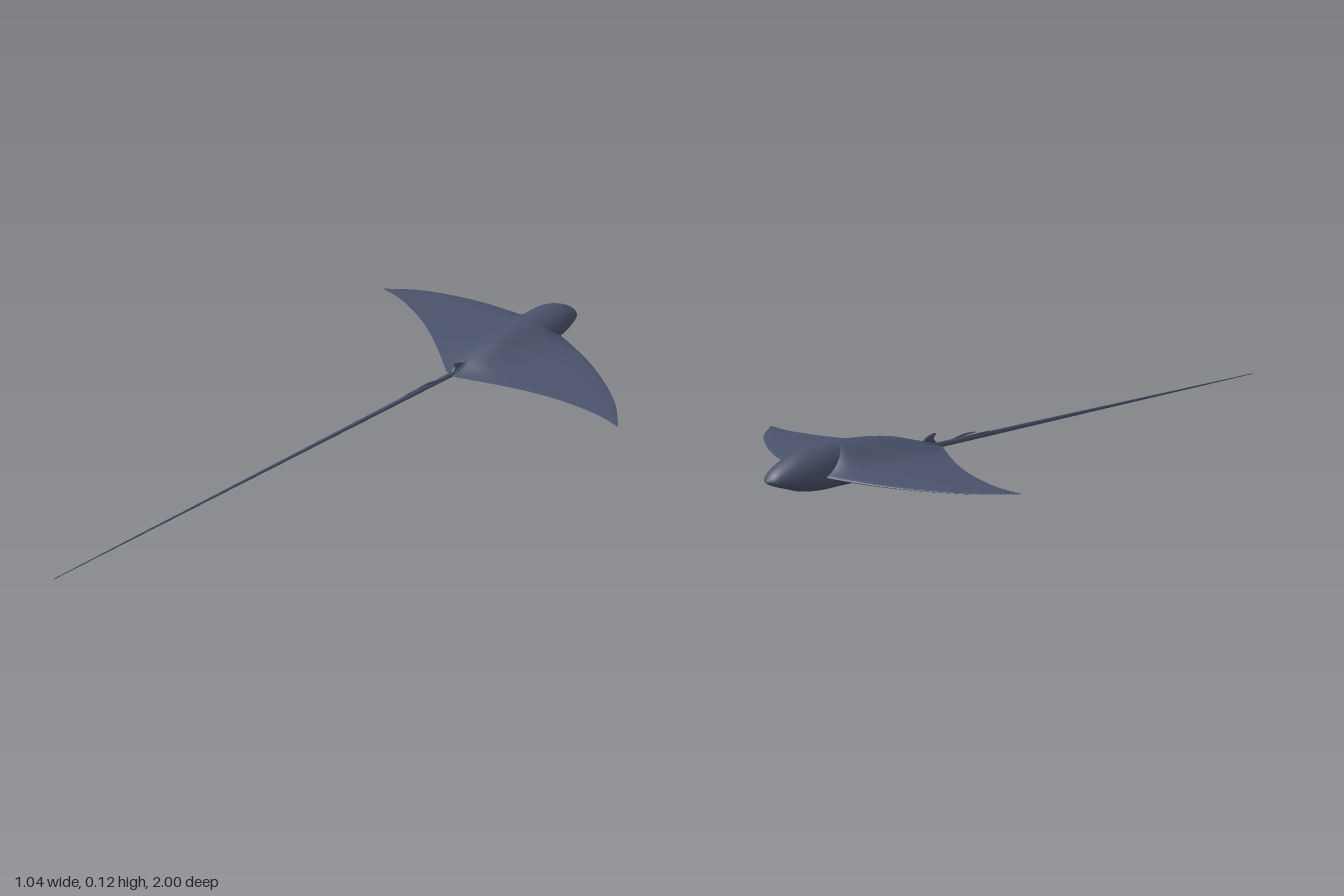
import * as THREE from 'three';

const MID = 0.046;
const SPAN = 0.518;
const slate = new THREE.MeshStandardMaterial({ color: 0x4a526b });
slate.name = 'slate skin';

// smooth lookup through [position, value] pairs
function curve(pairs) {
  return (p) => {
    let i = 0;
    while (i < pairs.length - 2 && p > pairs[i + 1][0]) i++;
    const slope = (k) => {
      const a = pairs[Math.max(k - 1, 0)], b = pairs[Math.min(k + 1, pairs.length - 1)];
      return (b[1] - a[1]) / (b[0] - a[0]);
    };
    const [x0, y0] = pairs[i], [x1, y1] = pairs[i + 1], d = x1 - x0;
    const t = Math.min(Math.max((p - x0) / d, 0), 1), s = 1 - t;
    return y0 * (1 + 2 * t) * s * s + slope(i) * d * t * s * s
      + y1 * t * t * (3 - 2 * t) - slope(i + 1) * d * t * t * s;
  };
}

// grid of points point(i, j), i in 0..n, j in 0..m
function gridGeometry(n, m, point, flip = false) {
  const pos = [], idx = [];
  for (let i = 0; i <= n; i++) for (let j = 0; j <= m; j++) pos.push(...point(i, j));
  for (let i = 0; i < n; i++) for (let j = 0; j < m; j++) {
    const a = i * (m + 1) + j, b = a + 1, c = a + m + 1, d = c + 1;
    idx.push(...(flip ? [a, c, b, b, c, d] : [a, b, c, b, d, c]));
  }
  const g = new THREE.BufferGeometry();
  g.setAttribute('position', new THREE.Float32BufferAttribute(pos, 3));
  g.setIndex(idx);
  g.computeVertexNormals();
  return g;
}

// body outline along z: upper edge, lower edge, half width
const bodyTop = curve([[-1, 0.05], [-0.985, 0.07], [-0.95, 0.092], [-0.9, 0.112], [-0.82, 0.12],
  [-0.7, 0.115], [-0.6, 0.1], [-0.5, 0.07], [-0.43, 0.05]]);
const bodyLow = curve([[-1, 0.05], [-0.985, 0.039], [-0.95, 0.025], [-0.9, 0.008], [-0.82, 0.001],
  [-0.7, 0.005], [-0.6, 0.016], [-0.5, 0.031], [-0.43, 0.042]]);
const bodyWidth = curve([[-1, 0], [-0.99, 0.022], [-0.97, 0.036], [-0.93, 0.05], [-0.86, 0.063],
  [-0.78, 0.055], [-0.65, 0.034], [-0.5, 0.016], [-0.43, 0.006]]);

// wing outline along x
const leading = curve([[0, -0.87], [0.06, -0.86], [0.15, -0.838], [0.25, -0.806], [0.35, -0.758],
  [0.44, -0.7], [SPAN, -0.622]]);
const trailing = curve([[0, -0.432], [0.02, -0.436], [0.1, -0.484], [0.2, -0.54], [0.3, -0.584],
  [0.4, -0.612], [0.46, -0.62], [SPAN, -0.618]]);
const wingHeight = curve([[0, 0.022], [0.1, 0.018], [0.2, 0.013], [0.35, 0.007], [SPAN, 0.0005]]);

function wingSurface(side, up) {
  const n = 44, m = 32;
  return gridGeometry(n, m, (i, j) => {
    const x = SPAN * Math.pow(i / n, 1.3);
    const u = (1 - Math.cos(Math.PI * j / m)) / 2;
    const z = THREE.MathUtils.lerp(leading(x), trailing(x), u);
    const foil = Math.min(1, 2.3 * Math.sqrt(u) * (1 - u));
    // fairing that swells toward the trunk and closes at both edges
    const bell = Math.exp(-Math.pow(x / 0.075, 2))
      * THREE.MathUtils.smoothstep(u, 0, 0.2) * Math.min(1, (1 - u) * 6);
    const full = up > 0 ? bodyTop(z) - MID : MID - bodyLow(z);
    const thin = wingHeight(x) * foil * (up > 0 ? 1 : 0.65);
    return [side * x, MID + up * (thin + Math.max(0, full - thin) * bell * 0.98), z];
  }, side * up < 0);
}

export function createModel() {
  const model = new THREE.Group();
  const add = (name, geometry, parent = model) => {
    const mesh = new THREE.Mesh(geometry, slate);
    mesh.name = name;
    parent.add(mesh);
    return mesh;
  };

  // rounded head and trunk
  const rings = 48, around = 32;
  add('body', gridGeometry(rings, around, (i, j) => {
    const z = -1 + 0.57 * Math.pow(i / rings, 1.6), a = (j / around) * Math.PI * 2;
    const mid = THREE.MathUtils.lerp(MID + 0.004, MID, i / rings), s = Math.sin(a);
    const y = s > 0 ? mid + s * (bodyTop(z) - mid) : mid + s * (mid - bodyLow(z));
    return [Math.cos(a) * bodyWidth(z), y, z];
  }));

  // wings blending into the trunk, and small eye bumps
  for (const side of [1, -1]) {
    const wing = new THREE.Group();
    wing.name = side > 0 ? 'leftWing' : 'rightWing';
    model.add(wing);
    add('upperSkin', wingSurface(side, 1), wing);
    add('lowerSkin', wingSurface(side, -1), wing);

    const eye = add('eye', new THREE.SphereGeometry(0.007, 16, 12));
    eye.position.set(side * 0.055, 0.063, -0.885);
    eye.scale.x = 0.6;
  }

  // whip tail
  const tail = add('tail', new THREE.CylinderGeometry(0.0011, 0.0085, 1.46, 12, 12));
  tail.geometry.scale(0.85, 1, 1).rotateX(Math.PI / 2);
  tail.position.set(0, MID, 0.27);

  // small upright fin and barbs, drawn as side profiles (z, y)
  const blade = (name, points, width, x = 0) => {
    const shape = new THREE.Shape();
    shape.moveTo(...points[0]);
    shape.splineThru(points.slice(1).map((q) => new THREE.Vector2(...q)));
    shape.closePath();
    const g = new THREE.ExtrudeGeometry(shape, { depth: width, bevelEnabled: false, curveSegments: 12 });
    g.translate(0, 0, -width / 2).rotateY(-Math.PI / 2);
    add(name, g).position.x = x;
  };
  blade('dorsalFin', [[-0.5, 0.055], [-0.483, 0.07], [-0.458, 0.08], [-0.442, 0.081],
    [-0.45, 0.068], [-0.436, 0.05]], 0.006);
  blade('upperBarb', [[-0.4, 0.048], [-0.37, 0.055], [-0.33, 0.061], [-0.29, 0.059],
    [-0.33, 0.056], [-0.37, 0.048]], 0.005, 0.002);
  blade('lowerBarb', [[-0.38, 0.048], [-0.33, 0.054], [-0.24, 0.054], [-0.3, 0.048]], 0.005, -0.002);

  return model;
}
